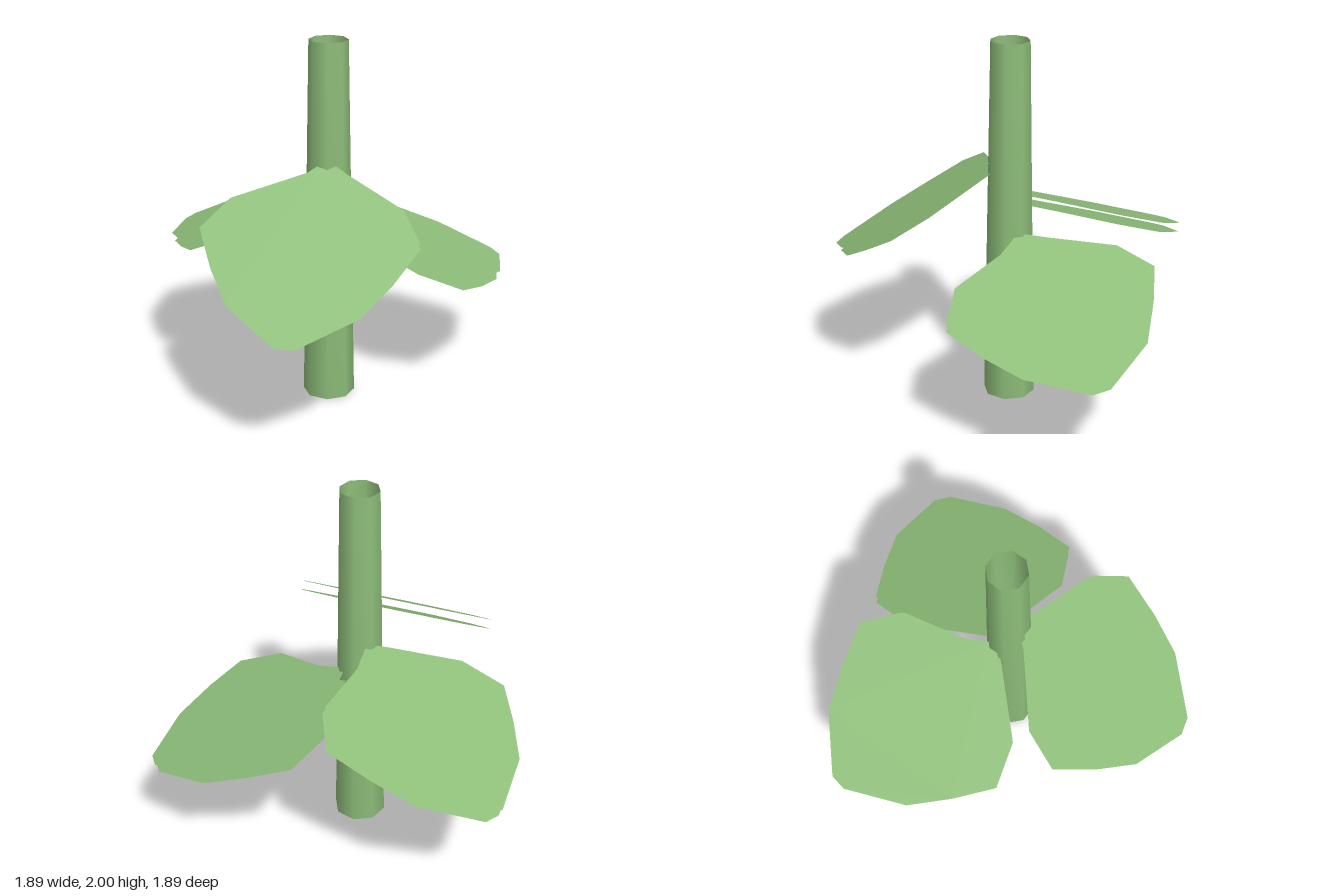
import * as THREE from 'three';

const green = new THREE.MeshStandardMaterial({ color: 0x8fbf7a, side: THREE.DoubleSide });
const AXIS = { x: -0.025, z: -0.077 };
const GAP = 0.05; // distance between the two sheets of a leaf

// Each leaf lies in the plane y = a + b*x + c*z; its outline is given as [x, z]
const leaves = [
  {
    name: 'frontLeaf', plane: [1.36, 0.073, -0.637], root: [-0.03, 0.03],
    outline: [[-0.055, 0], [-0.13, 0.05], [-0.52, 0.17], [-0.66, 0.325], [-0.585, 0.52], [-0.48, 0.715],
      [-0.23, 0.925], [-0.13, 0.94], [0.18, 0.8], [0.33, 0.645], [0.465, 0.465], [0.38, 0.285],
      [0.08, 0.07], [-0.005, 0]],
  },
  {
    name: 'leftLeaf', plane: [0.998, -0.367, 0.077], root: [0.07, -0.15],
    outline: [[0.04, -0.13], [0.115, -0.11], [0.21, -0.075], [0.48, 0.105], [0.72, 0.095], [0.83, -0.095],
      [0.925, -0.33], [0.945, -0.67], [0.895, -0.75], [0.585, -0.89], [0.35, -0.89], [0.125, -0.87],
      [0.02, -0.66], [0.04, -0.28], [0.04, -0.19]],
  },
  {
    name: 'rightLeaf', plane: [1.192, 0.369, 0.133], root: [-0.1, -0.16],
    outline: [[-0.08, -0.18], [-0.085, -0.315], [-0.01, -0.665], [-0.095, -0.88], [-0.32, -0.925], [-0.555, -0.95],
      [-0.88, -0.85], [-0.93, -0.775], [-0.95, -0.42], [-0.875, -0.19], [-0.785, 0.02], [-0.55, 0.055],
      [-0.2, -0.085], [-0.1, -0.13]],
  },
];

function mesh(name, geometry) {
  const m = new THREE.Mesh(geometry, green);
  m.name = name;
  return m;
}

// Flat polygon lifted onto the sloping leaf plane
function leafSheet(outline, [a, b, c]) {
  const geo = new THREE.ShapeGeometry(new THREE.Shape(outline.map(([x, z]) => new THREE.Vector2(x, -z))));
  const p = geo.attributes.position;
  for (let i = 0; i < p.count; i++) {
    const x = p.getX(i), z = -p.getY(i);
    p.setXYZ(i, x, a + b * x + c * z, z);
  }
  geo.computeVertexNormals();
  return geo;
}

function makeLeaf({ name, plane, root, outline }) {
  const leaf = new THREE.Group();
  leaf.name = name;
  const [a, b, c] = plane;
  const normal = new THREE.Vector3(-b, 1, -c).normalize();

  // Upper and lower sheet, parallel with an open gap
  const upper = leafSheet(outline, plane);
  const lower = upper.clone().translate(...normal.clone().multiplyScalar(-GAP).toArray());
  leaf.add(mesh('upperSheet', upper), mesh('lowerSheet', lower));

  // Short stalk from inside the stem to the root of the leaf
  const onPlane = (x, z) => new THREE.Vector3(x, a + b * x + c * z, z).addScaledVector(normal, -GAP / 2);
  const path = new THREE.LineCurve3(onPlane(AXIS.x, AXIS.z), onPlane(...root));
  leaf.add(mesh('leafStalk', new THREE.TubeGeometry(path, 1, 0.027, 6)));
  return leaf;
}

export function createModel() {
  const model = new THREE.Group();
  model.name = 'plant';

  // Tapered eight-sided stem, closed below and open on top
  const profile = [[0, 0], [0.142, 0], [0.104, 2]].map(([r, y]) => new THREE.Vector2(r, y));
  const stem = mesh('stem', new THREE.LatheGeometry(profile, 8));
  stem.position.set(AXIS.x, 0, AXIS.z);
  model.add(stem);

  for (const spec of leaves) model.add(makeLeaf(spec));
  return model;
}
